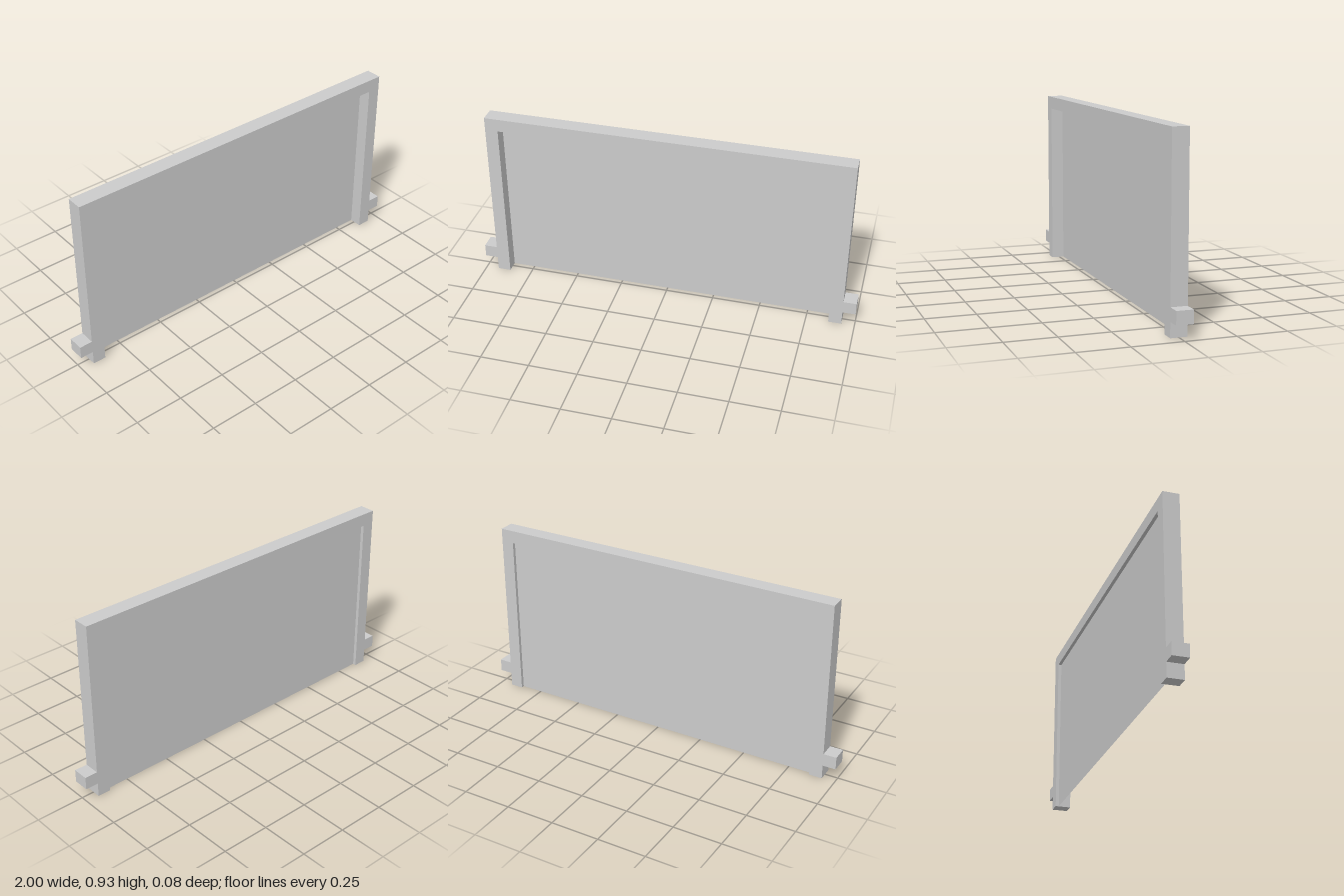
import * as THREE from 'three';

const W = 0.933, H = 0.933;        // outer half width and height of the frame
const BAR = 0.067;                 // bar width
const DEPTH = 0.083;
const PEG_LOW = 0.074, PEG_HIGH = 0.14;
const PANEL_Z = -0.024;            // panel sits towards the back

export function createModel() {
  const model = new THREE.Group();
  model.name = 'framedPanel';
  const material = new THREE.MeshStandardMaterial({ color: 0xcccccc, flatShading: true });

  // Frame open at the bottom, with a square peg on each side
  const rightHalf = [
    [W - BAR, 0], [W, 0], [W, PEG_LOW], [1, PEG_LOW],
    [1, PEG_HIGH], [W, PEG_HIGH], [W, H],
  ];
  const leftHalf = rightHalf.map(([x, y]) => [-x, y]).reverse();
  const outline = [
    ...rightHalf, ...leftHalf,
    [-(W - BAR), H - BAR], [W - BAR, H - BAR],
  ].map(([x, y]) => new THREE.Vector2(x, y));
  const frameGeometry = new THREE.ExtrudeGeometry(new THREE.Shape(outline), {
    depth: DEPTH, bevelEnabled: false,
  });
  frameGeometry.translate(0, 0, -DEPTH / 2);
  const frame = new THREE.Mesh(frameGeometry, material);
  frame.name = 'frameWithPegs';
  model.add(frame);

  // Thin sheet filling the frame
  const sheetMaterial = material.clone();
  sheetMaterial.side = THREE.DoubleSide;
  const panel = new THREE.Mesh(new THREE.PlaneGeometry(2 * (W - BAR), H - BAR), sheetMaterial);
  panel.position.set(0, (H - BAR) / 2, PANEL_Z);
  panel.name = 'panel';
  model.add(panel);

  return model;
}
